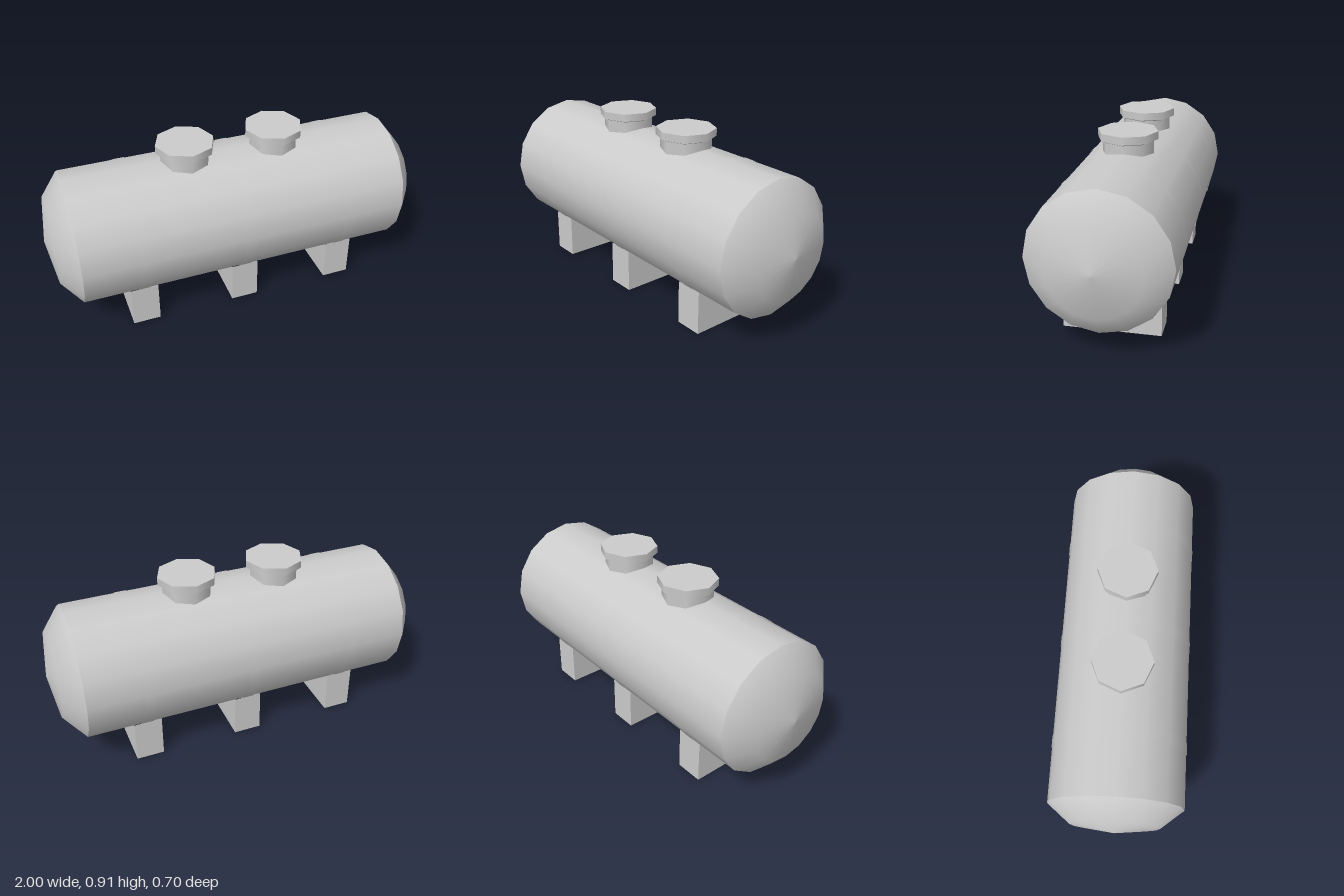
import * as THREE from 'three';

const R = 0.347;      // tank radius
const CY = 0.477;     // tank axis height
const SIDES = 16;

export function createModel() {
  const model = new THREE.Group();
  model.name = 'storageTank';
  const grey = new THREE.MeshStandardMaterial({ color: 0xcccccc });
  const greyDouble = new THREE.MeshStandardMaterial({ color: 0xcccccc, side: THREE.DoubleSide });

  const add = (parent, name, geometry, material = grey) => {
    const mesh = new THREE.Mesh(geometry, material);
    mesh.name = name;
    parent.add(mesh);
    return mesh;
  };

  // Horizontal shell
  const shell = new THREE.CylinderGeometry(R, R, 1.74, SIDES, 1, true).rotateZ(-Math.PI / 2);
  add(model, 'tankShell', shell).position.y = CY;

  // Domed ends
  const domeProfile = [[R, 0.87], [0.228, 0.966], [0, 1]].map(p => new THREE.Vector2(...p));
  for (const side of [1, -1]) {
    const dome = new THREE.LatheGeometry(domeProfile, SIDES).rotateZ(-Math.PI / 2);
    if (side < 0) dome.rotateY(Math.PI);
    add(model, side > 0 ? 'leftDome' : 'rightDome', dome).position.y = CY;
  }

  // Straps, each above an open saddle whose side plates follow the shell
  const W = 0.146, D = 0.247, H = 0.23;
  const plate = new THREE.Shape([
    [-D, 0], [D, 0], [D, H], [0.133, 0.157], [0, 0.13], [-0.133, 0.157], [-D, H],
  ].map(p => new THREE.Vector2(...p)));
  for (const x of [-0.557, 0, 0.557]) {
    const strap = new THREE.CylinderGeometry(R + 0.003, R + 0.003, 0.06, SIDES, 1, true);
    add(model, 'strap', strap.rotateZ(-Math.PI / 2), greyDouble).position.set(x, CY, 0);

    const saddle = new THREE.Group();
    saddle.name = 'saddle';
    saddle.position.x = x;
    for (const s of [1, -1]) {
      const side = new THREE.ShapeGeometry(plate).rotateY(s * Math.PI / 2);
      add(saddle, 'saddleSide', side, greyDouble).position.x = s * W / 2;
      const end = new THREE.PlaneGeometry(W, H);
      if (s < 0) end.rotateY(Math.PI);
      add(saddle, 'saddleEnd', end, greyDouble).position.set(0, H / 2, s * D);
    }
    model.add(saddle);
  }

  // Octagonal hatches on top
  for (const x of [-0.24, 0.24]) {
    const hatch = new THREE.Group();
    hatch.name = 'hatch';
    hatch.position.x = x;
    const ring = (name, top, bottom, y0, y1, open) => {
      const g = new THREE.CylinderGeometry(top, bottom, y1 - y0, 8, 1, open);
      add(hatch, name, g).position.y = (y0 + y1) / 2;
    };
    ring('hatchNeck', 0.13, 0.13, 0.76, 0.865, true);
    ring('hatchFlare', 0.153, 0.13, 0.864, 0.873, false);
    ring('hatchLid', 0.153, 0.153, 0.873, 0.913, false);
    model.add(hatch);
  }
  return model;
}
